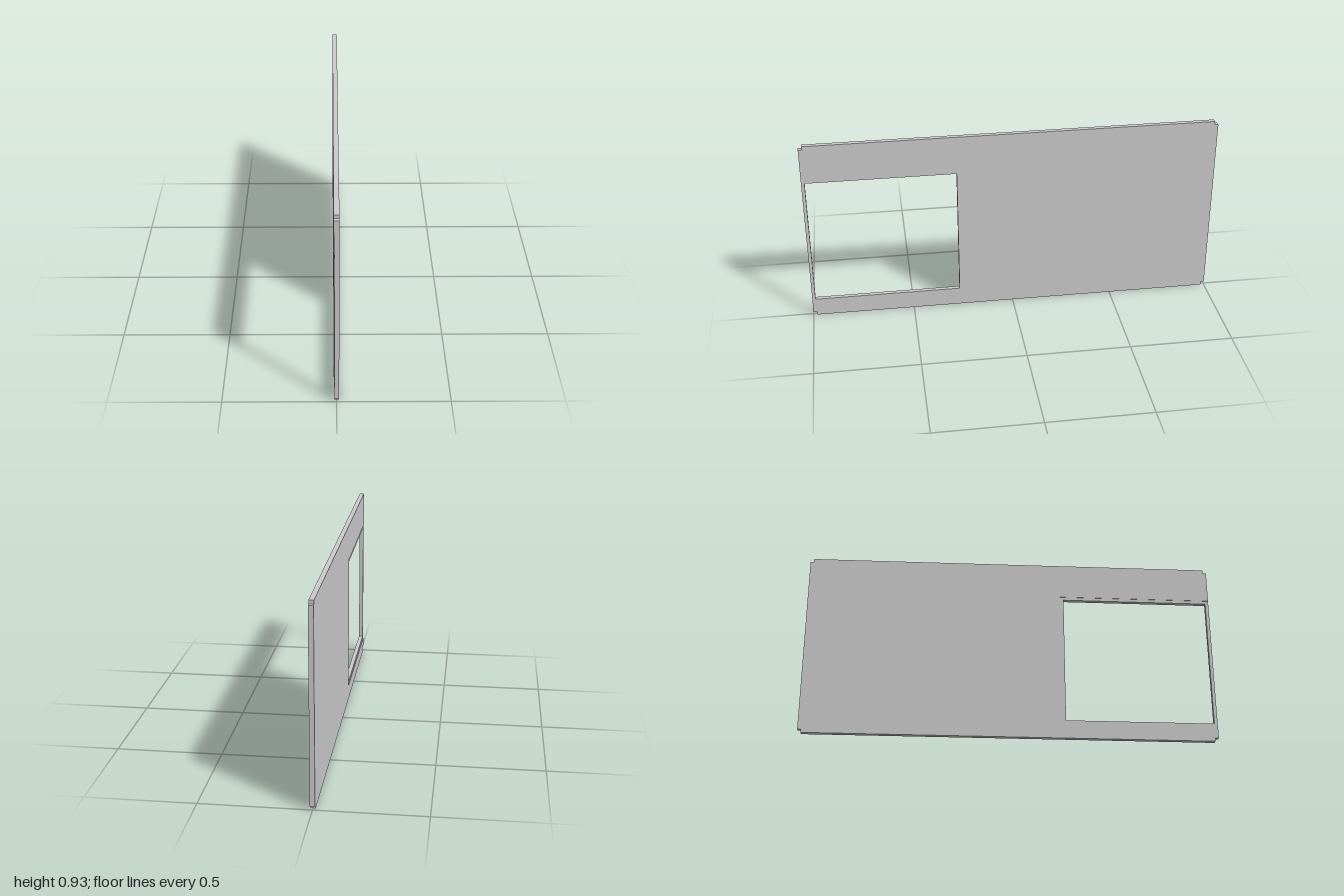
import * as THREE from 'three';

const H = 0.928;      // panel height
const T = 0.023;      // panel thickness
const N = 0.017;      // corner notch
const REBATE = 0.002; // depth of the recess round the opening

const material = new THREE.MeshStandardMaterial({ color: 0xcccccc, flatShading: true });

// Outline in (z, y); optional extra points are inserted along the front (+z) edge
function outline(frontEdge = []) {
  return new THREE.Shape([
    [-1 + N, 0], [1 - N, 0], [1 - N, N], [1, N],
    ...frontEdge,
    [1, H - N], [1 - N, H - N], [1 - N, H], [-1 + N, H],
    [-1 + N, H - N], [-1, H - N], [-1, N], [-1 + N, N],
  ].map(([z, y]) => new THREE.Vector2(z, y)));
}

// Extrudes a (z, y) shape from x = start towards -x
function sheet(name, shape, start, depth) {
  const geometry = new THREE.ExtrudeGeometry(shape, { depth, bevelEnabled: false });
  geometry.rotateY(-Math.PI / 2);
  geometry.translate(start, 0, 0);
  const mesh = new THREE.Mesh(geometry, material);
  mesh.name = name;
  return mesh;
}

export function createModel() {
  const group = new THREE.Group();
  group.name = 'notchedPanel';

  // Main board with the rectangular window opening
  const board = outline();
  board.holes.push(new THREE.Path([
    [0.268, 0.091], [0.268, 0.736], [0.984, 0.736], [0.984, 0.091],
  ].map(([z, y]) => new THREE.Vector2(z, y))));
  group.add(sheet('board', board, T / 2, T - REBATE));

  // Thin facing, cut back round the window and open at the front edge
  const facing = outline([[1, 0.074], [0.251, 0.074], [0.251, 0.752], [1, 0.752]]);
  group.add(sheet('rebatedFacing', facing, -T / 2 + REBATE, REBATE));

  return group;
}
